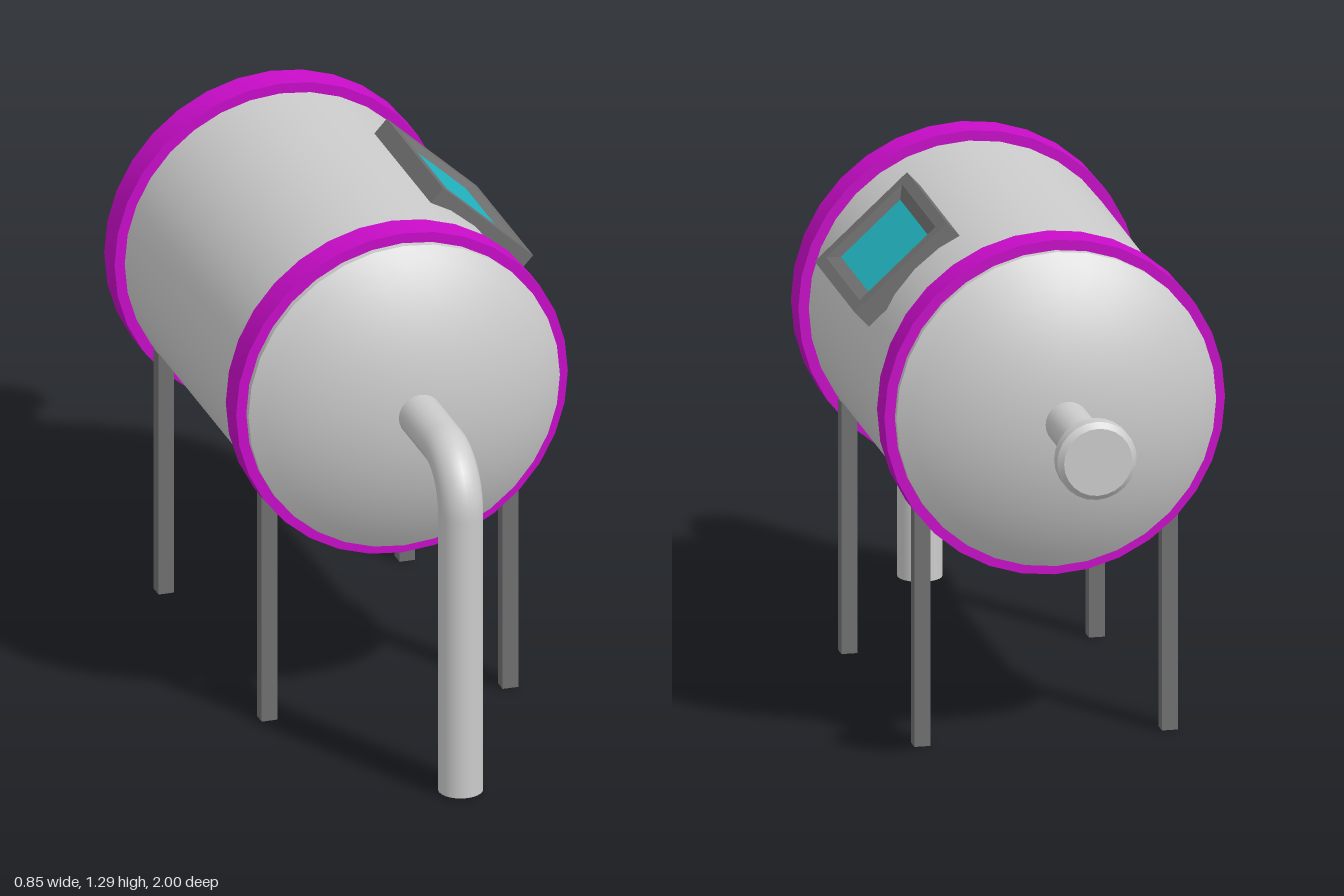
import * as THREE from 'three';
import { toCreasedNormals } from 'three/addons/utils/BufferGeometryUtils.js';

const AXIS_Y = 0.867, AXIS_X = -0.004, MID_Z = -0.016;
const TANK_R = 0.398;

const material = (color = 0xcccccc, extra = {}) => new THREE.MeshStandardMaterial({ color, ...extra });

function addMesh(parent, name, geometry, mat) {
  const mesh = new THREE.Mesh(geometry, mat);
  mesh.name = name;
  parent.add(mesh);
  return mesh;
}

// Profile of [radius, z] pairs turned around the z axis
function turned(profile, segments) {
  const points = profile.map(([r, z]) => new THREE.Vector2(r, z));
  return toCreasedNormals(new THREE.LatheGeometry(points, segments).rotateX(Math.PI / 2), 0.5);
}

// Skin over a stack of rectangles [halfX, halfZ, y], closed underneath
function rectangleLoft(levels) {
  const pos = [];
  const rings = levels.map(([x, z, y]) => [[-x, y, -z], [-x, y, z], [x, y, z], [x, y, -z]]);
  const quad = (a, b, c, d) => pos.push(...a, ...b, ...c, ...a, ...c, ...d);
  for (let k = 0; k < rings.length - 1; k++) {
    for (let i = 0; i < 4; i++) {
      const j = (i + 1) % 4;
      quad(rings[k][i], rings[k][j], rings[k + 1][j], rings[k + 1][i]);
    }
  }
  quad(...[...rings[0]].reverse());
  const geometry = new THREE.BufferGeometry();
  geometry.setAttribute('position', new THREE.Float32BufferAttribute(pos, 3));
  geometry.computeVertexNormals();
  return geometry;
}

export function createModel() {
  const model = new THREE.Group();
  model.name = 'storageTank';
  const grey = material();
  const dark = material(0x707070);
  const purple = material(0xc80cc8);
  const teal = material(0x22b4c2);

  // Everything that shares the tank axis
  const body = new THREE.Group();
  body.name = 'tankBody';
  body.position.set(AXIS_X, AXIS_Y, 0);
  model.add(body);

  // Shell: straight barrel with a shallow spherical dome at each end
  const domeStart = 0.525, domeDepth = 0.127;
  const domeR = (TANK_R ** 2 + domeDepth ** 2) / (2 * domeDepth);
  const sweep = Math.asin(TANK_R / domeR);
  const half = [];
  for (let i = 0; i <= 10; i++) {
    const a = sweep * (1 - i / 10);
    half.push([i === 10 ? 0 : domeR * Math.sin(a), domeStart + domeDepth - domeR * (1 - Math.cos(a))]);
  }
  const shell = [...half.map(([r, z]) => [r, -z]).reverse(), ...half];
  addMesh(body, 'tankShell', turned(shell, 32), grey).position.z = MID_Z;

  // Bands around both ends of the barrel
  for (const side of [1, -1]) {
    const band = turned([[0.39, -0.04], [0.424, -0.04], [0.424, 0.04], [0.39, 0.04]], 32);
    addMesh(body, side > 0 ? 'frontBand' : 'backBand', band, purple).position.z = MID_Z + side * 0.468;
  }

  // Front pipe: out of the dome, round an elbow, down to the ground
  const bend = 0.125, pipeZ = 0.943, k = bend * 0.448;
  const v = (y, z) => new THREE.Vector3(0, y, z);
  const path = new THREE.CurvePath();
  path.add(new THREE.LineCurve3(v(0, 0.58), v(0, pipeZ - bend)));
  path.add(new THREE.CubicBezierCurve3(v(0, pipeZ - bend), v(0, pipeZ - k), v(-k, pipeZ), v(-bend, pipeZ)));
  path.add(new THREE.LineCurve3(v(-bend, pipeZ), v(0.005 - AXIS_Y, pipeZ)));
  addMesh(body, 'frontPipe', new THREE.TubeGeometry(path, 80, 0.055, 24), material(0xcccccc, { side: THREE.DoubleSide }));

  // Back pipe with a flared end flange
  addMesh(body, 'backPipe', turned([
    [0, -0.997], [0.085, -0.997], [0.099, -0.984], [0.099, -0.95],
    [0.085, -0.938], [0.055, -0.905], [0.055, -0.6],
  ], 24), grey);

  // Sight window: tilted frame with a bevelled recess, and the pane inside
  const sightWindow = new THREE.Group();
  sightWindow.name = 'sightWindow';
  sightWindow.position.set(0.316, 0.288, -0.013);
  sightWindow.rotation.z = -0.742;
  body.add(sightWindow);
  addMesh(sightWindow, 'windowFrame', rectangleLoft([
    [0.156, 0.217, -0.053], [0.156, 0.217, 0], [0.128, 0.182, 0], [0.1, 0.15, -0.013],
  ]), dark);
  const pane = new THREE.PlaneGeometry(0.2, 0.3).rotateX(-Math.PI / 2);
  addMesh(sightWindow, 'windowPane', pane, teal).position.y = -0.013;

  // Four square legs, their tops buried in the shell
  const legHeight = 0.638;
  for (const [xName, x] of [['Left', 0.308], ['Right', -0.308]]) {
    for (const [zName, z] of [['front', 0.397], ['back', -0.397]]) {
      const leg = addMesh(model, `${zName}${xName}Leg`, new THREE.BoxGeometry(0.04, legHeight, 0.038), dark);
      leg.position.set(AXIS_X + x, legHeight / 2, MID_Z + z);
    }
  }
  return model;
}
